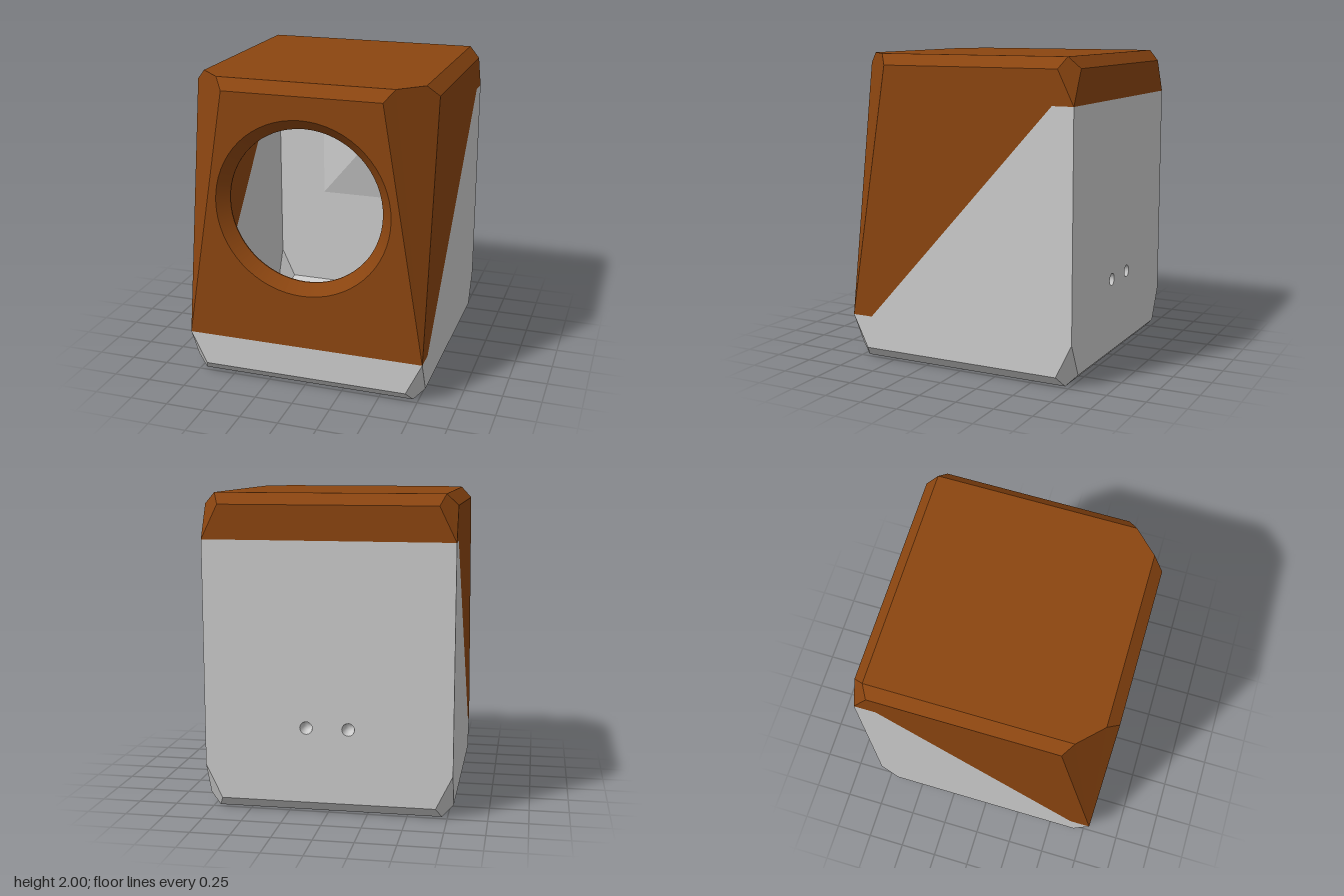
import * as THREE from 'three';

const brown = new THREE.MeshStandardMaterial({ color: 0x8b4510, side: THREE.DoubleSide });
brown.name = 'brown wood';
const grey = new THREE.MeshStandardMaterial({ color: 0xcccccc, side: THREE.DoubleSide });
grey.name = 'light grey shell';

const W = 0.785, IN = 0.715, CY = 1.215; // half width, chamfered half width, opening height
const LO = 0.285, HI = 1.715;            // where the corner cuts start
const CUT = 0.68, TOPCUT = 0.51, TOPIN = 0.567;

// circle in x, y at depth z
const circle = (x, y, z, r, n) => Array.from({ length: n }, (_, i) => {
  const a = i / n * Math.PI * 2;
  return [x + r * Math.cos(a), y + r * Math.sin(a), z];
});

// flat polygon with optional holes, facing away from the centre (sign 1) or towards it (-1)
function polygon(points, holes, sign) {
  const v = p => new THREE.Vector3(...p);
  const [a, b, c] = points.map(v);
  const n = b.clone().sub(a).cross(c.clone().sub(a)).normalize();
  const u = b.clone().sub(a).normalize(), w = n.clone().cross(u);
  const flat = p => new THREE.Vector2(v(p).dot(u), v(p).dot(w));
  const all = [points, ...holes].flat();
  const tris = THREE.ShapeUtils.triangulateShape(points.map(flat), holes.map(h => h.map(flat)));
  const pos = [];
  for (const t of tris) {
    const [p, q, r] = t.map(i => v(all[i]));
    const m = q.clone().sub(p).cross(r.clone().sub(p));
    const out = p.clone().add(q).add(r).divideScalar(3).sub(new THREE.Vector3(0, 1, 0));
    const order = m.dot(out) * sign > 0 ? [p, q, r] : [p, r, q];
    order.forEach(k => pos.push(k.x, k.y, k.z));
  }
  const g = new THREE.BufferGeometry();
  g.setAttribute('position', new THREE.Float32BufferAttribute(pos, 3));
  g.computeVertexNormals();
  return g;
}

// one skin of the faceted cabinet; the inner skin is a reduced copy facing inwards
function skin(name, sxz, sy, sign) {
  const group = new THREE.Group();
  group.name = name;
  const add = (part, mat, pts, holes = []) => {
    const scaled = pts.map(([x, y, z]) => [x * sxz, 1 + (y - 1) * sy, z * sxz]);
    const mesh = new THREE.Mesh(polygon(scaled, holes, sign), mat);
    mesh.name = part;
    group.add(mesh);
  };
  const outer = sign > 0;

  // front and back
  add('frontPanel', brown, [[-W, LO, W], [W, LO, W], [TOPCUT, 1.93, W], [-TOPCUT, 1.93, W]],
    [circle(0, CY, W * sxz, outer ? 0.57 : 0.5, 64)]);
  add('frontBase', grey, [[-W, LO, W], [W, LO, W], [CUT, 0.07, W], [-CUT, 0.07, W]]);
  add('backPanel', grey, [[-W, HI, -W], [W, HI, -W], [W, LO, -W], [CUT, 0.07, -W], [-CUT, 0.07, -W], [-W, LO, -W]],
    outer ? [-0.133, 0.133].map(x => circle(x, 0.55, -W, 0.04, 24)) : []);
  add('backTop', brown, [[-W, HI, -W], [W, HI, -W], [CUT, 1.93, -W], [-CUT, 1.93, -W]]);

  // top and bottom
  add('top', brown, [[-IN, 2, -IN], [IN, 2, -IN], [IN, 2, TOPIN], [TOPIN, 2, IN], [-TOPIN, 2, IN], [-IN, 2, TOPIN]]);
  add('bottom', grey, [[-IN, 0, -IN], [IN, 0, -IN], [IN, 0, IN], [-IN, 0, IN]]);
  add('topFrontChamfer', brown, [[-TOPCUT, 1.93, W], [TOPCUT, 1.93, W], [TOPIN, 2, IN], [-TOPIN, 2, IN]]);
  add('topBackChamfer', brown, [[-CUT, 1.93, -W], [CUT, 1.93, -W], [IN, 2, -IN], [-IN, 2, -IN]]);
  for (const s of [-1, 1]) {
    add('bottomChamfer', grey, [[-CUT, 0.07, s * W], [CUT, 0.07, s * W], [IN, 0, s * IN], [-IN, 0, s * IN]]);
  }

  // mirrored sides and corners
  for (const s of [-1, 1]) {
    const x = s * W, xi = s * IN;
    add('sideHood', brown, [[x, LO, W], [x, LO, 0.645], [x, HI, -0.645], [x, HI, -W], [x, 1.93, -CUT], [x, 1.93, TOPCUT]]);
    add('sideShell', grey, [[x, 0.07, CUT], [x, 0.07, -CUT], [x, LO, -W], [x, HI, -W], [x, HI, -0.645], [x, LO, 0.645], [x, LO, W]]);
    add('topSideChamfer', brown, [[x, 1.93, TOPCUT], [xi, 2, TOPIN], [xi, 2, -IN], [x, 1.93, -CUT]]);
    add('bottomSideChamfer', grey, [[x, 0.07, CUT], [xi, 0, IN], [xi, 0, -IN], [x, 0.07, -CUT]]);
    add('frontCornerFacet', brown, [[x, LO, W], [x, 1.93, TOPCUT], [xi, 2, TOPIN], [s * TOPIN, 2, IN], [s * TOPCUT, 1.93, W]]);
    add('backCornerFacet', brown, [[x, HI, -W], [x, 1.93, -CUT], [xi, 2, -IN], [s * CUT, 1.93, -W]]);
    for (const t of [-1, 1]) {
      add('bottomCornerFacet', grey, [[x, LO, t * W], [x, 0.07, t * CUT], [xi, 0, t * IN], [s * CUT, 0.07, t * W]]);
    }
  }
  return group;
}

export function createModel() {
  const model = new THREE.Group();
  model.name = 'speakerCabinet';
  const inner = 0.9;
  model.add(skin('outerSkin', 1, 1, 1), skin('innerSkin', inner, 0.96, -1));

  const place = (name, geo, mat, x, y, z) => {
    const mesh = new THREE.Mesh(geo, mat);
    mesh.name = name;
    mesh.position.set(x, y, z);
    model.add(mesh);
  };

  // round opening: bevel, then a short straight lip
  const bevel = new THREE.CylinderGeometry(0.57, 0.5, W - IN, 64, 1, true).rotateX(Math.PI / 2);
  place('openingBevel', bevel, brown, 0, CY, (W + IN) / 2);
  const lip = new THREE.CylinderGeometry(0.5, 0.5, IN - W * inner, 64, 1, true).rotateX(Math.PI / 2);
  place('openingLip', lip, brown, 0, CY, (IN + W * inner) / 2);

  // shallow four-sided bulge on the inside of the back
  const bulge = new THREE.ConeGeometry(0.36 * Math.SQRT2, 0.1, 4, 1, true)
    .rotateY(Math.PI / 4).rotateX(Math.PI / 2).scale(1, 0.43 / 0.36, 1).toNonIndexed();
  bulge.computeVertexNormals();
  place('innerBackBulge', bulge, grey, 0, 1.255, -W * inner + 0.05);

  // two cable sockets in the back
  for (const x of [-0.133, 0.133]) {
    const dish = [[0, 0.06], [0.025, 0.06], [0.04, 0]].map(p => new THREE.Vector2(...p));
    place('cableSocket', new THREE.LatheGeometry(dish, 24).rotateX(Math.PI / 2), grey, x, 0.55, -W);
  }
  return model;
}
